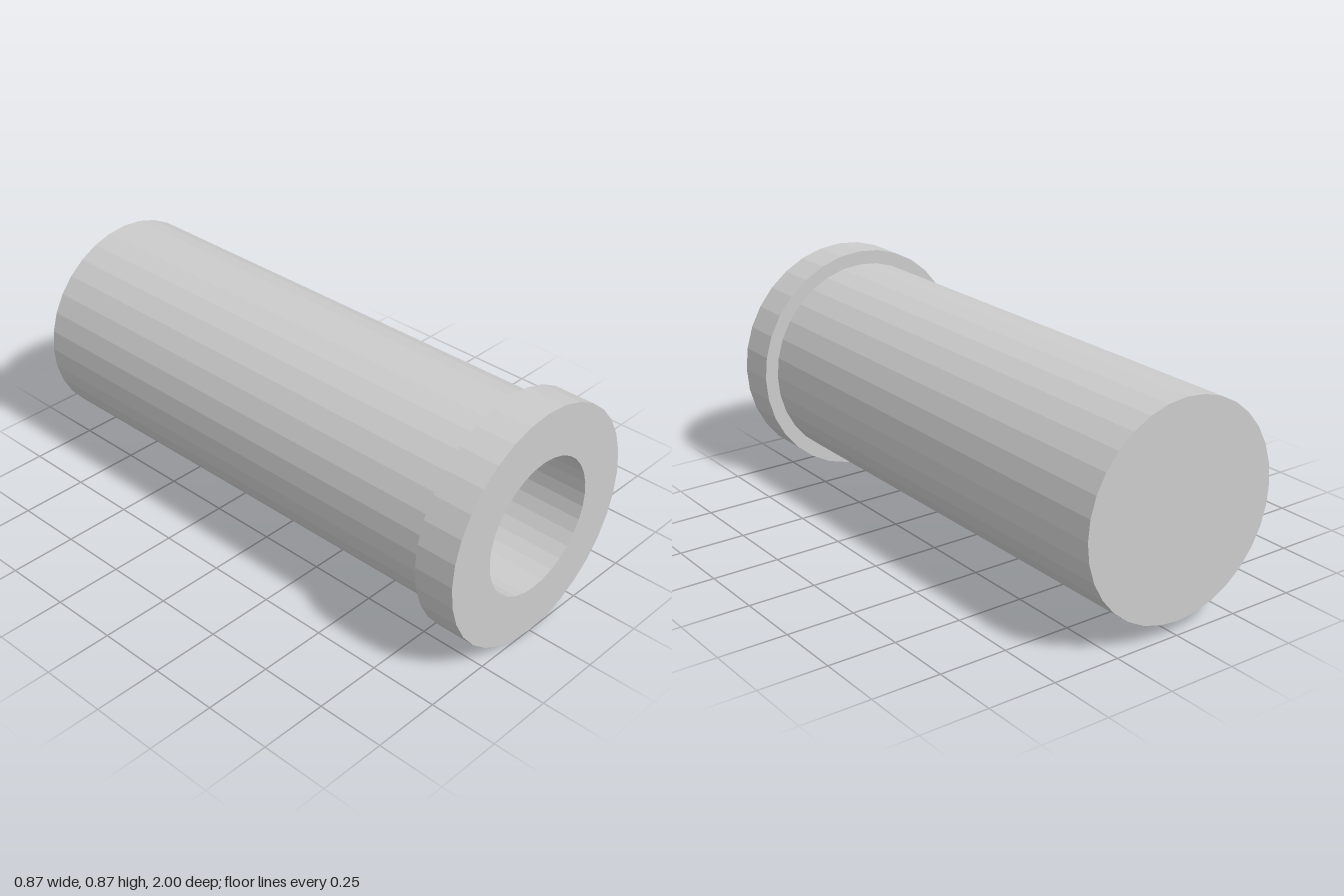
import * as THREE from 'three';

const SIDES = 32;
const FLANGE_R = 0.434, BARREL_R = 0.382, BORE_R = 0.25;
const FRONT = 1, SHOULDER = 0.85, BACK = -1, FLOOR = -0.85;

export function createModel() {
  const group = new THREE.Group();
  group.name = 'flangedSleeve';
  const material = new THREE.MeshStandardMaterial({ color: 0xcccccc, flatShading: true });

  // Turns a profile of [radius, z] points around the z axis
  const turned = (name, profile) => {
    const points = profile.map(([r, z]) => new THREE.Vector2(r, z));
    const geometry = new THREE.LatheGeometry(points, SIDES).rotateX(Math.PI / 2);
    const mesh = new THREE.Mesh(geometry, material);
    mesh.name = name;
    mesh.position.y = FLANGE_R;
    group.add(mesh);
  };

  // Closed back end and outer wall
  turned('barrel', [[0, BACK], [BARREL_R, BACK], [BARREL_R, SHOULDER]]);
  // Collar with its rear shoulder and front face
  turned('flange', [[BARREL_R, SHOULDER], [FLANGE_R, SHOULDER], [FLANGE_R, FRONT], [BORE_R, FRONT]]);
  // Blind hole opening at the front
  turned('bore', [[BORE_R, FRONT], [BORE_R, FLOOR], [0, FLOOR]]);

  return group;
}
